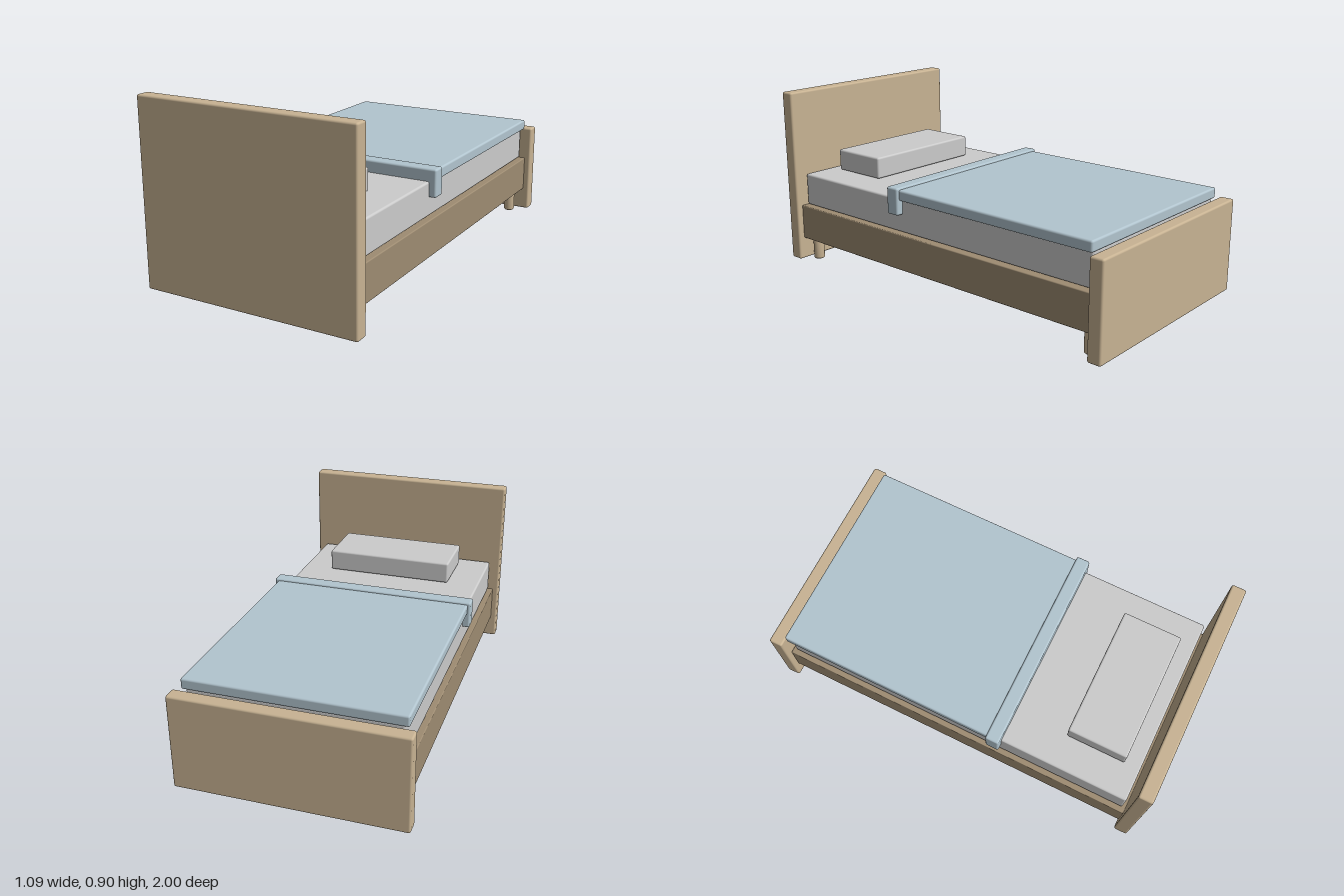
import * as THREE from 'three';
import { RoundedBoxGeometry } from 'three/addons/geometries/RoundedBoxGeometry.js';

export function createModel() {
  const bed = new THREE.Group();
  bed.name = 'bed';
  const material = (color) => new THREE.MeshStandardMaterial({ color });
  const wood = material(0xc8b393);
  const darkWood = material(0x9e8c72);
  const linen = material(0xcccccc);
  const blue = material(0xb2c5cf);

  // Soft-edged box centred on x, given its width and its y and z ranges
  function slab(name, width, [y0, y1], [z0, z1], mat, radius = 0.01) {
    const geometry = new RoundedBoxGeometry(width, y1 - y0, z1 - z0, 2, radius);
    const mesh = new THREE.Mesh(geometry, mat);
    mesh.name = name;
    mesh.position.set(0, (y0 + y1) / 2, (z0 + z1) / 2);
    bed.add(mesh);
  }

  // Wooden structure
  slab('headboard', 1.09, [0.005, 0.9], [0.93, 1], wood);
  slab('footboard', 1.09, [0.005, 0.47], [-1, -0.93], wood);
  slab('frame', 1.03, [0.12, 0.3], [-0.93, 0.93], darkWood, 0.005);

  // Bedding
  slab('mattress', 0.98, [0.305, 0.47], [-0.912, 0.912], linen);
  slab('pillow', 0.66, [0.475, 0.585], [0.53, 0.83], linen);
  slab('blanket', 1.02, [0.467, 0.52], [-0.92, 0.2], blue);
  slab('blanketFold', 1.05, [0.395, 0.53], [0.19, 0.26], blue);

  // Short round legs with softened rims
  const profile = [[0, 0], [0.022, 0], [0.028, 0.006], [0.028, 0.11], [0.022, 0.12], [0, 0.12]];
  const legGeometry = new THREE.LatheGeometry(profile.map(([r, y]) => new THREE.Vector2(r, y)), 24);
  for (const x of [-0.45, 0.45]) {
    for (const z of [-0.885, 0.89]) {
      const leg = new THREE.Mesh(legGeometry, wood);
      leg.name = 'leg';
      leg.position.set(x, 0, z);
      bed.add(leg);
    }
  }
  return bed;
}
